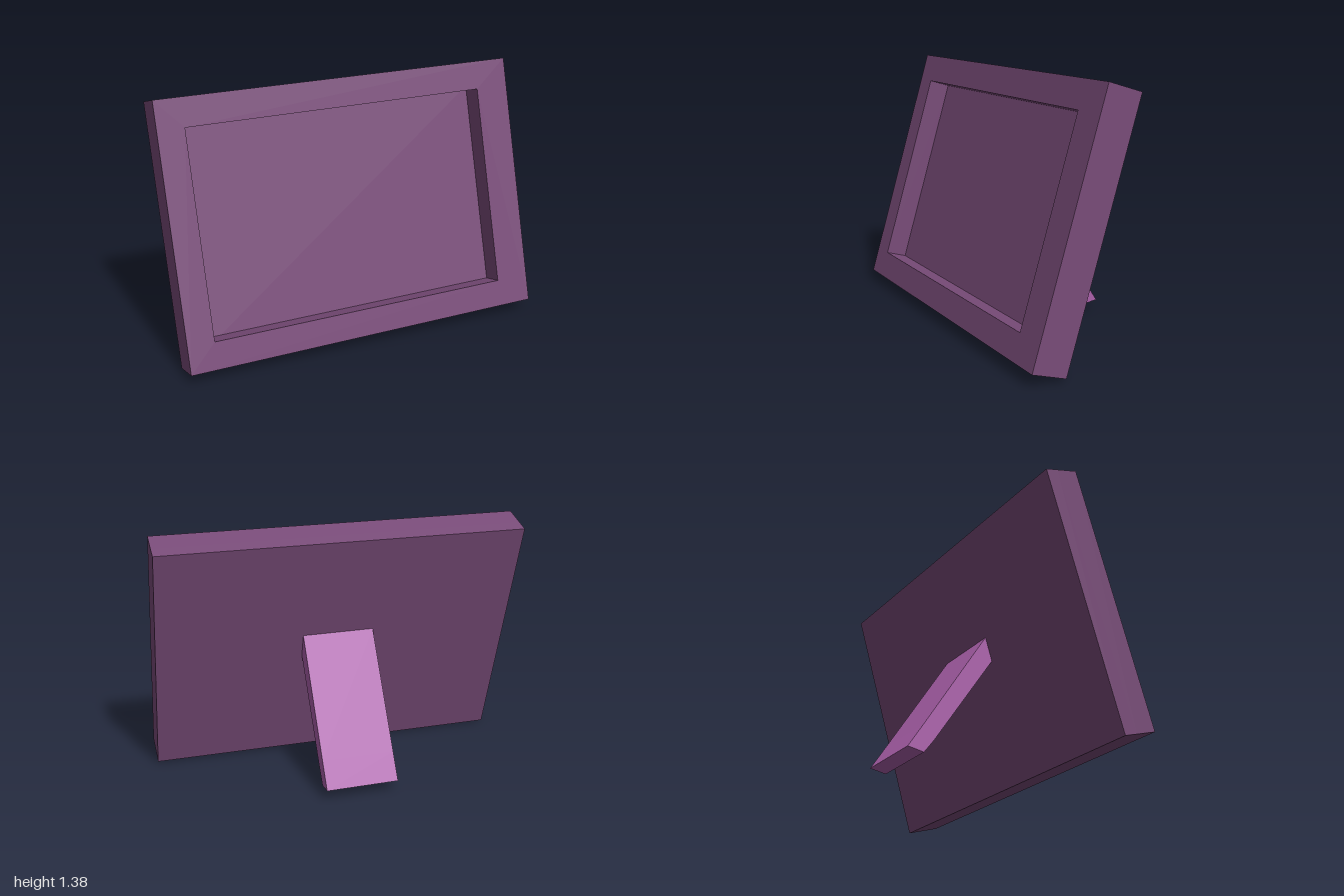
import * as THREE from 'three';

// Closed outline from [x, y] points
function outline(Type, points) {
  return new Type(points.map(([x, y]) => new THREE.Vector2(x, y)));
}

function rect(x0, x1, y0, y1) {
  return [[x0, y0], [x1, y0], [x1, y1], [x0, y1]];
}

function extrude(shape, depth) {
  return new THREE.ExtrudeGeometry(shape, { depth, bevelEnabled: false });
}

function addMesh(parent, name, geometry, material) {
  const mesh = new THREE.Mesh(geometry, material);
  mesh.name = name;
  parent.add(mesh);
  return mesh;
}

export function createModel() {
  const model = new THREE.Group();
  model.name = 'pictureFrame';
  const frameMaterial = new THREE.MeshStandardMaterial({ color: 0x784b78, flatShading: true });
  const legMaterial = new THREE.MeshStandardMaterial({ color: 0xab60ab, flatShading: true });

  const width = 1.99, height = 1.374, thickness = 0.193, recess = 0.12;
  const backThickness = thickness - recess;

  // Leaning frame, very slightly rolled
  const frame = new THREE.Group();
  frame.name = 'frame';
  frame.position.set(0, 0.691, 0.1475);
  frame.rotation.set(-0.292, 0, 0.0055);
  model.add(frame);

  // Border around the recessed picture area
  const border = outline(THREE.Shape, rect(-width / 2, width / 2, -height / 2, height / 2));
  border.holes.push(outline(THREE.Path, rect(-0.853, 0.807, -0.543, 0.535)));
  addMesh(frame, 'border', extrude(border, recess), frameMaterial)
    .position.z = thickness / 2 - recess;

  // Back panel, whose front is the picture surface
  addMesh(frame, 'backPanel', new THREE.BoxGeometry(width, height, backThickness), frameMaterial)
    .position.z = -thickness / 2 + backThickness / 2;

  // Rear support leg: side profile as [z, y], swept across x
  const legWidth = 0.395;
  const profile = [
    [0.05, 0.80], [0.09, 0.675], [0.065, 0.645], [-0.29, 0.12],
    [-0.345, 0.048], [-0.437, 0.063], [-0.35, 0.195], [0.022, 0.77],
  ];
  const legGeometry = extrude(outline(THREE.Shape, profile.map(([z, y]) => [-z, y])), legWidth);
  legGeometry.translate(0, 0, -legWidth / 2);
  legGeometry.rotateY(Math.PI / 2); // shape x becomes -z
  addMesh(model, 'supportLeg', legGeometry, legMaterial);

  return model;
}
